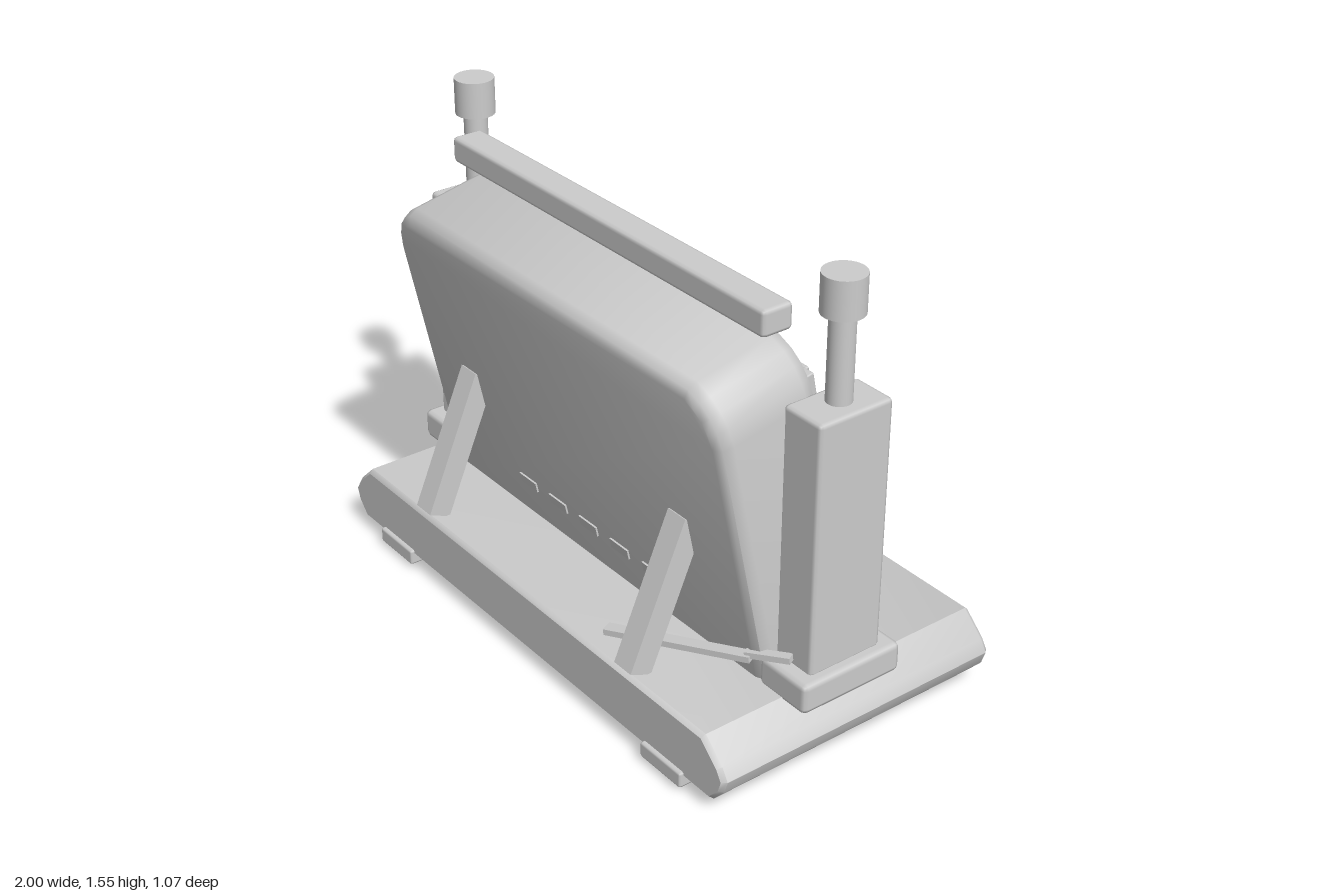
import * as THREE from 'three';
import { toCreasedNormals } from 'three/addons/utils/BufferGeometryUtils.js';
import { RoundedBoxGeometry } from 'three/addons/geometries/RoundedBoxGeometry.js';

export function createModel() {
  const model = new THREE.Group();
  const grey = new THREE.MeshStandardMaterial({ color: 0xcccccc });
  grey.name = 'plain grey';

  const add = (name, geometry, x = 0, y = 0, z = 0, parent = model) => {
    const mesh = new THREE.Mesh(geometry, grey);
    mesh.name = name;
    mesh.position.set(x, y, z);
    parent.add(mesh);
    return mesh;
  };
  // Box given by its extents, with optional softened edges
  const block = (name, [x0, x1], [y0, y1], [z0, z1], r = 0, parent = model) => {
    const s = [x1 - x0, y1 - y0, z1 - z0];
    const g = r ? new RoundedBoxGeometry(...s, 1, r) : new THREE.BoxGeometry(...s);
    return add(name, g, (x0 + x1) / 2, (y0 + y1) / 2, (z0 + z1) / 2, parent);
  };
  // Square bar running from a to b
  const beam = (name, a, b, width, thickness) => {
    const from = new THREE.Vector3(...a), to = new THREE.Vector3(...b);
    const bar = add(name, new THREE.BoxGeometry(width, thickness, from.distanceTo(to)));
    bar.position.copy(from).add(to).multiplyScalar(0.5);
    bar.lookAt(to);
    return bar;
  };

  // Base slab with pointed, softened ends
  const half = [[0.9, 0.25], [0.975, 0.18], [1, 0.14], [0.985, 0.095], [0.94, 0.045]];
  const outline = [...half, ...half.map(([x, y]) => [-x, y]).reverse()];
  const baseShape = new THREE.Shape(outline.map(p => new THREE.Vector2(...p)));
  const baseGeo = new THREE.ExtrudeGeometry(baseShape, {
    depth: 1.01, bevelThickness: 0.015, bevelSize: 0.012, bevelOffset: -0.012, bevelSegments: 1,
  });
  add('base', toCreasedNormals(baseGeo, 0.7), 0, 0, -0.505);

  // Parts mirrored on both sides
  for (const s of [-1, 1]) {
    const span = (a, b) => (s > 0 ? [a, b] : [-b, -a]);
    block('foot', span(0.63, 0.82), [0.015, 0.068], [-0.535, 0.535], 0.008);
    block('footPad', span(0.67, 0.785), [0, 0.016], [-0.4, 0.4]);
    block('towerFoot', span(0.8, 1), [0.24, 0.34], [-0.14, 0.23], 0.018);
    block('tower', span(0.81, 0.966), [0.33, 1.16], [-0.085, 0.18], 0.014);
    block('pivotBlock', span(0.765, 0.825), [0.86, 0.93], [-0.03, 0.02], 0.006);
    add('post', new THREE.CylinderGeometry(0.039, 0.039, 0.29, 32), s * 0.885, 1.295, 0.045);
    add('postCap', new THREE.CylinderGeometry(0.065, 0.065, 0.12, 32), s * 0.885, 1.49, 0.045);
    beam('prop', [s * 0.54, 0.26, 0.492], [s * 0.54, 0.715, 0.295], 0.08, 0.08);
  }

  // Top bar with a thin strip behind it
  block('topBar', [-0.76, 0.76], [1.345, 1.43], [0.108, 0.215], 0.014);
  block('topBarStrip', [-0.68, 0.68], [1.365, 1.41], [0.094, 0.11]);

  // Lever resting in front of the tower
  beam('lever', [0.355, 0.278, 0.45], [0.79, 0.338, 0.25], 0.04, 0.02);
  beam('leverGrip', [0.77, 0.345, 0.255], [0.895, 0.365, 0.19], 0.03, 0.02);

  // Leaning panel: everything below sits in its tilted frame
  const panel = new THREE.Group();
  panel.name = 'panel';
  panel.position.set(0, 0.25, -0.133);
  panel.rotation.x = 0.208;
  model.add(panel);

  // Body with rounded upper corners and bevelled rim
  const body = new THREE.Shape();
  body.moveTo(-0.78, 0.02);
  body.lineTo(0.78, 0.02);
  body.lineTo(0.78, 0.92);
  body.quadraticCurveTo(0.77, 1.02, 0.69, 1.05);
  body.lineTo(-0.69, 1.05);
  body.quadraticCurveTo(-0.77, 1.02, -0.78, 0.92);
  const bodyGeo = new THREE.ExtrudeGeometry(body, {
    depth: 0.26, bevelThickness: 0.045, bevelSize: 0.04, bevelSegments: 2, curveSegments: 4,
  });
  add('panelBody', toCreasedNormals(bodyGeo, 1), 0, 0, 0.045, panel);

  // Row of short marks on the front face
  for (let i = -2; i <= 2; i++) {
    const x = i * 0.163;
    block('frontMark', [x - 0.045, x + 0.045], [0.195, 0.23], [0.348, 0.356], 0, panel);
  }

  // Rear rails and their bolts
  for (const [y, w] of [[0.1, 0.83], [0.92, 0.77]]) {
    block('rearRail', [-w, w], [y - 0.037, y + 0.037], [-0.03, 0.005], 0.005, panel);
    for (const x of [-0.7, -0.235, 0.235, 0.7]) {
      block('bolt', [x - 0.022, x + 0.022], [y - 0.022, y + 0.022], [-0.052, -0.025], 0.005, panel);
    }
  }

  // Slanted slats across the back
  const slat = new THREE.Shape([
    [0.06, 0.12], [0.18, 0.12], [-0.06, 0.86], [-0.18, 0.86],
  ].map(p => new THREE.Vector2(...p)));
  const slatGeo = new THREE.ExtrudeGeometry(slat, { depth: 0.025, bevelEnabled: false });
  for (let i = -3; i <= 3; i++) add('slat', slatGeo, i * 0.204, 0, -0.02, panel);

  return model;
}
